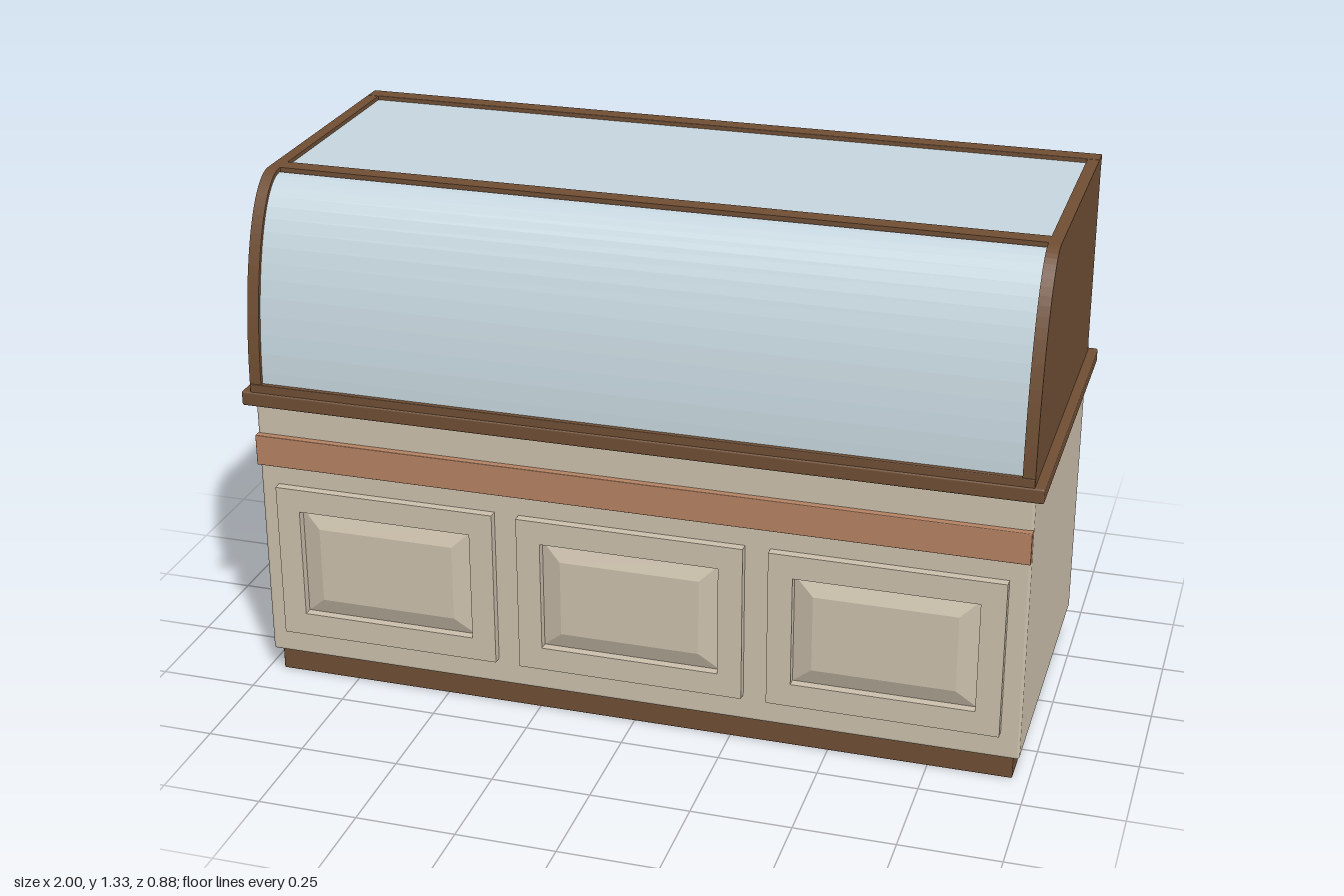
import * as THREE from 'three';
import { RoundedBoxGeometry } from 'three/addons/geometries/RoundedBoxGeometry.js';

const paint = (name, color) => {
  const m = new THREE.MeshStandardMaterial({ color });
  m.name = name;
  return m;
};

export function createModel() {
  const cream = paint('cream paint', 0xcbbfab);
  const wood = paint('dark wood', 0x6f4e34);
  const copper = paint('copper', 0xb58263);
  const glass = paint('pale glass', 0xc6d6de);

  const model = new THREE.Group();
  model.name = 'displayCounter';

  const add = (name, geometry, material) => {
    const mesh = new THREE.Mesh(geometry, material);
    mesh.name = name;
    model.add(mesh);
    return mesh;
  };
  // Box given by its limits on each axis, with an optional rounded edge
  const box = (name, material, [x0, x1], [y0, y1], [z0, z1], radius = 0) => {
    const size = [x1 - x0, y1 - y0, z1 - z0];
    const g = radius ? new RoundedBoxGeometry(...size, 2, radius) : new THREE.BoxGeometry(...size);
    const mesh = add(name, g, material);
    mesh.position.set((x0 + x1) / 2, (y0 + y1) / 2, (z0 + z1) / 2);
    return mesh;
  };
  // Extrude a (z, y) profile along x, centred on x = 0
  const extrudeX = (points, width) =>
    new THREE.ExtrudeGeometry(new THREE.Shape(points), { depth: width, bevelEnabled: false })
      .translate(0, 0, -width / 2).rotateY(-Math.PI / 2);
  // Quarter ellipse of the hood front, from the counter up to the top
  const hoodArc = (inset, steps) => Array.from({ length: steps + 1 }, (_, i) => {
    const a = (i / steps) * Math.PI / 2;
    return new THREE.Vector2(0.25 + (0.185 - inset) * Math.cos(a), 0.805 + (0.525 - inset) * Math.sin(a));
  });

  // Cabinet
  box('plinth', wood, [-0.96, 0.96], [0, 0.07], [-0.39, 0.39], 0.003);
  box('cabinet', cream, [-0.977, 0.977], [0.065, 0.77], [-0.41, 0.41], 0.008);
  box('countertop', wood, [-1, 1], [0.767, 0.805], [-0.44, 0.44], 0.005);
  box('trimBand', copper, [-0.977, 0.977], [0.602, 0.683], [0.405, 0.428], 0.002);

  // Three front panels: a frame around a raised field with sloping edges
  const rect = (target, w, h) => {
    target.moveTo(-w / 2, -h / 2);
    target.lineTo(w / 2, -h / 2);
    target.lineTo(w / 2, h / 2);
    target.lineTo(-w / 2, h / 2);
    target.closePath();
    return target;
  };
  const frameShape = rect(new THREE.Shape(), 0.577, 0.412);
  frameShape.holes.push(rect(new THREE.Path(), 0.455, 0.29));
  const frameGeo = new THREE.ExtrudeGeometry(frameShape, { depth: 0.023, bevelEnabled: false });
  const fieldGeo = new THREE.BoxGeometry(0.455, 0.29, 0.018);
  const p = fieldGeo.attributes.position;
  for (let i = 0; i < p.count; i++) {
    if (p.getZ(i) > 0) p.setXY(i, p.getX(i) - Math.sign(p.getX(i)) * 0.05, p.getY(i) - Math.sign(p.getY(i)) * 0.045);
  }
  fieldGeo.computeVertexNormals();
  for (const x of [-0.64, 0, 0.64]) {
    add('panelFrame', frameGeo, cream).position.set(x, 0.341, 0.41);
    add('panelField', fieldGeo, cream).position.set(x, 0.341, 0.419);
  }

  // Wooden hood ends
  const endGeo = extrudeX([
    new THREE.Vector2(-0.42, 0.805), ...hoodArc(0, 24), new THREE.Vector2(-0.42, 1.33),
  ], 0.03);
  for (const side of [-1, 1]) add('hoodEnd', endGeo, wood).position.x = side * 0.962;

  // Rails between the hood ends
  box('frontLowerRail', wood, [-0.977, 0.977], [0.803, 0.826], [0.41, 0.437], 0.002);
  box('frontUpperRail', wood, [-0.95, 0.95], [1.305, 1.33], [0.2, 0.245]);
  box('backUpperRail', wood, [-0.977, 0.977], [1.302, 1.331], [-0.427, -0.38], 0.002);
  box('backLowerRail', wood, [-0.977, 0.977], [0.803, 0.826], [-0.427, -0.38], 0.002);

  // Curved front glass, flat top glass and two sliding back doors
  add('curvedGlass', extrudeX([...hoodArc(0.01, 16), ...hoodArc(0.016, 16).reverse()], 1.9), glass);
  box('topGlass', glass, [-0.95, 0.95], [1.314, 1.32], [-0.385, 0.205]);
  box('backDoorOuter', glass, [-0.005, 0.95], [0.82, 1.308], [-0.413, -0.405]);
  box('backDoorInner', glass, [-0.95, 0.02], [0.82, 1.308], [-0.402, -0.394]);

  return model;
}
